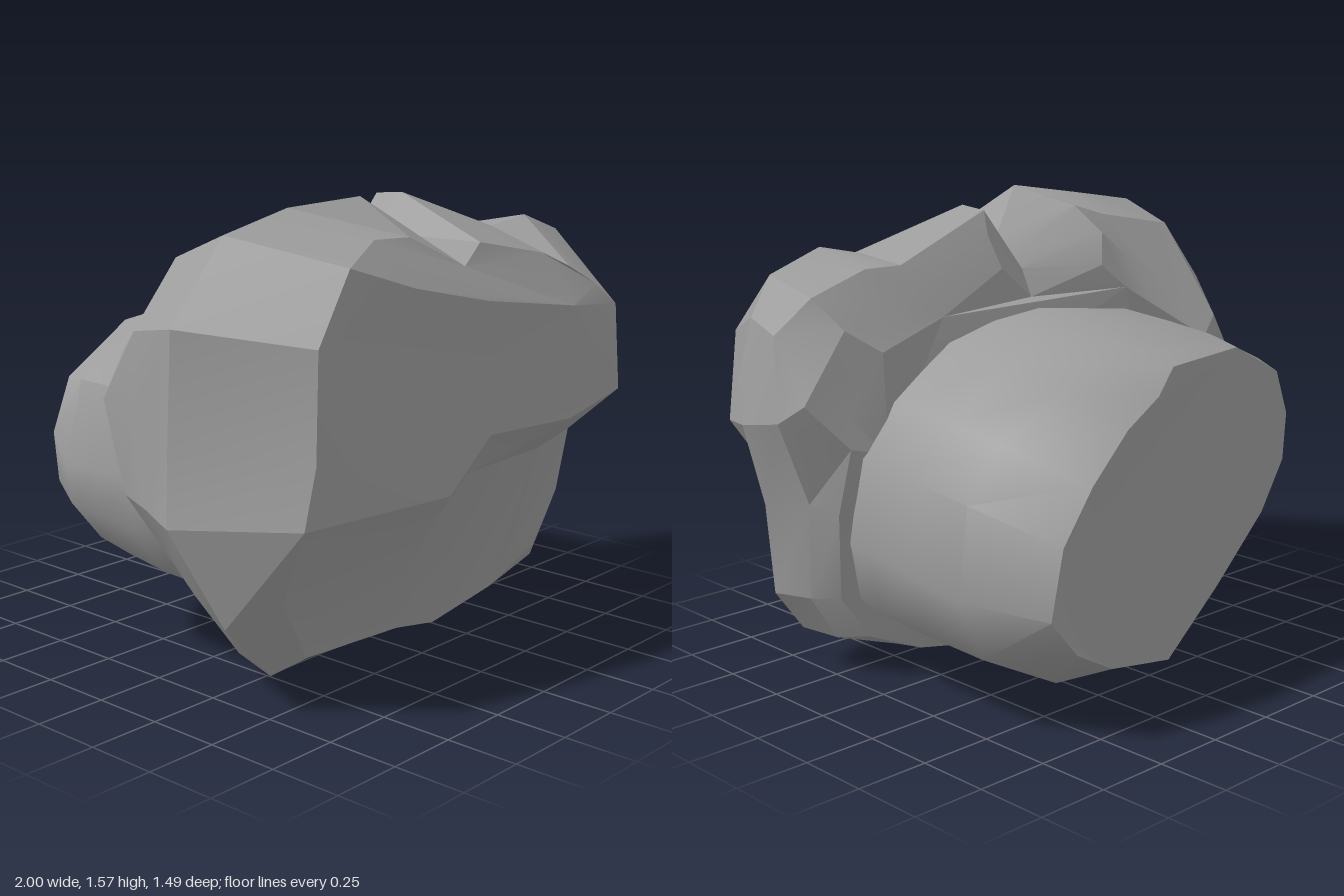
import * as THREE from 'three';
import { toCreasedNormals } from 'three/addons/utils/BufferGeometryUtils.js';

const material = new THREE.MeshStandardMaterial({ color: 0x9d9d9d });

// Skin between two loops of equal length, the first one nearer the front
function skin(out, a, b) {
  a.forEach((p, i) => {
    const j = (i + 1) % a.length;
    out.push(p, a[j], b[i], a[j], b[j], b[i]);
  });
}

// Fill an outline; facing is 1 for the front and -1 for the back
function patch(out, pts, facing = 1) {
  const flat = pts.map(p => new THREE.Vector2(p[0], p[1]));
  if (THREE.ShapeUtils.isClockWise(flat)) { flat.reverse(); pts = [...pts].reverse(); }
  for (const [i, j, k] of THREE.ShapeUtils.triangulateShape(flat, [])) {
    const [a, b, c] = [pts[i], pts[j], pts[k]];
    const area = (b[0] - a[0]) * (c[1] - a[1]) - (b[1] - a[1]) * (c[0] - a[0]);
    if (area * facing > 0) out.push(a, b, c); else out.push(a, c, b);
  }
}

function makeMesh(name, corners, crease) {
  const g = new THREE.BufferGeometry();
  g.setAttribute('position', new THREE.Float32BufferAttribute(corners.flat(), 3));
  const mesh = new THREE.Mesh(toCreasedNormals(g, crease), material);
  mesh.name = name;
  return mesh;
}

const shrink = (loop, s, cy, dz) => loop.map(([x, y, z]) => [x * s, cy + (y - cy) * s, z + dz]);

// Tall front slab with a stepped overhang across its face
function frontSlab() {
  // Edge of the front face, clockwise from the left end of the overhang
  const face = [
    [-.82, .66, .71], [-.78, .85, .72], [-.76, 1.19, .71], [-.63, 1.41, .715], [-.4, 1.46, .61],
    [-.22, 1.45, .6], [0, 1.34, .65], [.13, 1.4, .61], [.48, 1.33, .61], [.57, 1.28, .66],
    [.68, 1.21, .7], [.78, 1.13, .72], [.82, .82, .72], [.78, .65, .54], [.76, .42, .51],
    [.67, .22, .475], [.4, .13, .48], [.13, .06, .44], [-.12, .12, .485], [-.56, .14, .48], [-.74, .38, .55],
  ];
  // Widest outline
  const crest = [
    [-1, .63, .32], [-.97, .9, .3], [-.97, 1.23, .32], [-.79, 1.49, .36], [-.47, 1.54, .32],
    [-.28, 1.57, .45], [-.02, 1.42, .27], [.12, 1.54, .29], [.5, 1.4, .38], [.64, 1.43, .42],
    [.85, 1.36, .41], [.93, 1.23, .41], [1, .89, .38], [.91, .6, .4], [.89, .29, .39],
    [.78, .14, .39], [.53, .06, .36], [.1, .01, .27], [-.3, .05, .32], [-.62, .07, .38], [-.86, .3, .42],
  ];
  // Rear shoulder
  const shoulder = [
    [-.97, .66, .2], [-.97, .92, .14], [-.95, 1.2, .14], [-.81, 1.41, .18], [-.47, 1.47, .18],
    [-.34, 1.51, .2], [0, 1.36, .2], [.12, 1.53, .18], [.5, 1.38, .17], [.64, 1.38, .18],
    [.86, 1.31, .18], [.95, 1.19, .26], [.99, .92, .2], [.87, .63, .21], [.84, .29, .26],
    [.74, .13, .25], [.52, .06, .21], [.1, .005, .16], [-.3, .06, .19], [-.6, .1, .22], [-.82, .36, .25],
  ];
  // Back rim
  const rim = [
    [-.92, .67, .05], [-.92, .96, -.04], [-.8, 1.09, -.08], [-.62, 1.22, .01], [-.48, 1.32, .06],
    [-.37, 1.42, .09], [-.02, 1.32, .14], [.14, 1.45, .14], [.47, 1.3, .12], [.62, 1.28, .12],
    [.8, 1.21, .09], [.94, .98, .125], [.81, .83, .06], [.82, .6, .12], [.79, .3, .16],
    [.69, .15, .14], [.5, .07, .1], [.1, 0, .07], [-.3, .1, .1], [-.56, .18, .11], [-.77, .42, .1],
  ];
  const inner = shrink(rim, .86, .65, -.05);
  const brow = [[.5, 1.16, .735], [0, 1.24, .745], [-.35, 1.32, .735]];
  const lip = [[.5, .77, .735], [.03, .8, .745], [-.18, .64, .745]];
  const under = [[.5, .64, .6], [.05, .65, .64], [-.18, .38, .57]];

  const out = [];
  const loops = [face, crest, shoulder, rim, inner];
  for (let i = 0; i < loops.length - 1; i++) skin(out, loops[i], loops[i + 1]);
  patch(out, inner, -1);
  // Bevel and upper face
  patch(out, [...face.slice(3, 12), ...brow]);
  patch(out, [...face.slice(0, 4), ...[...brow].reverse(), face[11], face[12], ...lip]);
  // Lower face
  patch(out, [under[0], ...face.slice(13, 17)]);
  patch(out, [under[1], under[0], face[16], face[17]]);
  patch(out, [under[2], under[1], face[17], face[18]]);
  patch(out, [under[2], ...face.slice(18)]);
  // Underside of the overhang
  const top = [face[12], ...lip, face[0]];
  const bottom = [face[13], ...under, face[20]];
  for (let i = 0; i < 4; i++) patch(out, [top[i], top[i + 1], bottom[i + 1], bottom[i]]);
  return makeMesh('frontSlab', out, .35);
}

// Rounded rear boulder cut by a slanted flat back
function rearBoulder() {
  const backZ = x => Math.max(-.745, -.61 - .23 * x);
  const front = [
    [-.86, .7], [-.8, .96], [-.4, 1.15], [0, 1.2], [.2, 1.18], [.4, 1.13], [.66, .97], [.78, .8],
    [.8, .5], [.75, .28], [.5, .12], [.04, .09], [-.4, .18], [-.72, .36], [-.85, .53],
  ].map(([x, y]) => [x, y, 0]);
  const shoulder = [
    [-.87, .7], [-.78, .96], [-.4, 1.11], [.08, 1.13], [.22, 1.11], [.4, 1.04], [.66, .92], [.79, .75],
    [.82, .45], [.74, .25], [.45, .1], [.04, .06], [-.35, .2], [-.7, .4], [-.85, .56],
  ].map(([x, y]) => [x, y, backZ(x) + .12 + .2 * Math.max(0, x)]);
  const back = [
    [-.81, .77], [-.72, .94], [-.4, 1.08], [.04, 1.09], [.13, 1.01], [.32, .94], [.52, .81], [.66, .65],
    [.71, .43], [.6, .3], [.4, .19], [.04, .1], [-.3, .26], [-.63, .44], [-.79, .6],
  ].map(([x, y]) => [x, y, backZ(x)]);

  // Slightly swollen loop between the front and the shoulder
  const middle = front.map((p, i) => p.map((v, k) => (v + shoulder[i][k]) / 2));
  const buried = shrink(front, .95, .6, .22);
  const loops = [buried, front, shrink(middle, 1.005, .65, 0), shoulder, back];
  const out = [];
  for (let i = 0; i < loops.length - 1; i++) skin(out, loops[i], loops[i + 1]);
  patch(out, buried);
  patch(out, back, -1);
  return makeMesh('rearBoulder', out, .8);
}

export function createModel() {
  const rock = new THREE.Group();
  rock.name = 'rock';
  rock.add(frontSlab(), rearBoulder());
  return rock;
}
